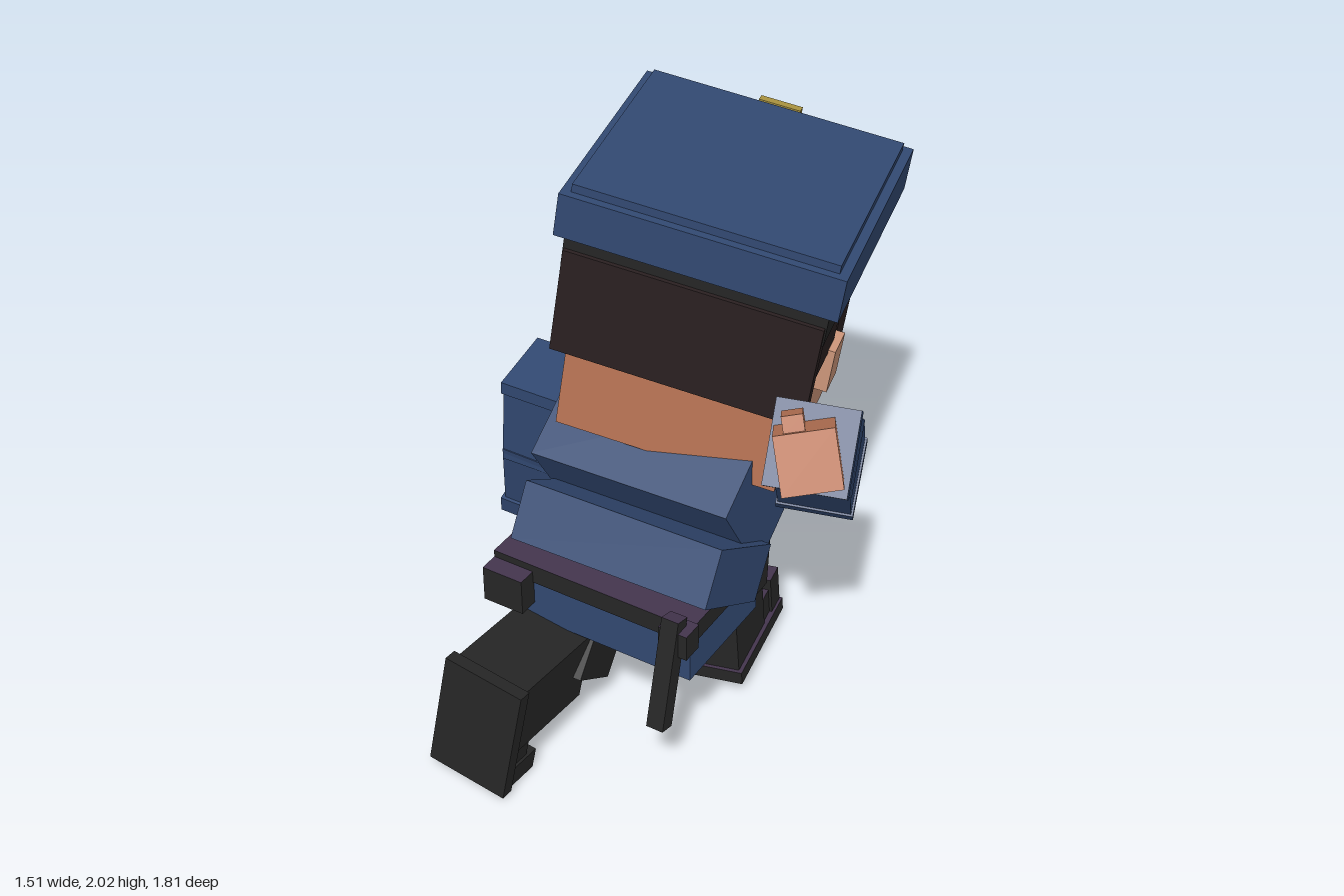
import * as THREE from 'three';

const V = (x, y, z) => new THREE.Vector3(x, y, z);
const D = THREE.MathUtils.degToRad;

function material(name, color) {
  const m = new THREE.MeshStandardMaterial({ color });
  m.name = name;
  return m;
}

export function createModel() {
  const blue = material('uniform blue', 0x324972);
  const black = material('black leather', 0x262626);
  const purple = material('purple black', 0x44354e);
  const skin = material('skin', 0xcd967a);
  const tan = material('tanned skin', 0xbd7757);
  const hair = material('dark hair', 0x2a2021);
  const gold = material('gold', 0xa8923f);
  // face order: +x -x +y -y +z -z
  const leather = [black, black, purple, black, black, black];
  const headSkin = [skin, skin, skin, tan, tan, skin];
  const handSkin = [tan, skin, skin, tan, skin, skin];

  const model = new THREE.Group();
  model.name = 'crouchingOfficer';

  function group(name, parent, pos, rot, order = 'YXZ') {
    const g = new THREE.Group();
    g.name = name;
    g.position.set(...pos);
    g.rotation.set(D(rot[0]), D(rot[1]), D(rot[2]), order);
    parent.add(g);
    return g;
  }
  function box(name, parent, mat, [w, h, d], [x, y, z], rot = [0, 0, 0]) {
    const m = new THREE.Mesh(new THREE.BoxGeometry(w, h, d), mat);
    m.name = name;
    m.position.set(x, y, z);
    m.rotation.set(D(rot[0]), D(rot[1]), D(rot[2]));
    parent.add(m);
    return m;
  }
  // Group whose local +y runs from b up to a, with its origin at b
  function limb(name, a, b, side = V(1, 0, 0)) {
    const g = new THREE.Group();
    g.name = name;
    const y = a.clone().sub(b).normalize();
    const z = side.clone().cross(y).normalize();
    const x = y.clone().cross(z);
    g.quaternion.setFromRotationMatrix(new THREE.Matrix4().makeBasis(x, y, z));
    g.position.copy(b);
    model.add(g);
    g.userData.length = a.distanceTo(b);
    return g;
  }
  // Shield badge facing -z
  function shield(name, parent, w, h, pos) {
    const s = new THREE.Shape([
      [-w / 2, h / 2], [w / 2, h / 2], [w / 2, -h / 4], [0, -h / 2], [-w / 2, -h / 4],
    ].map(([x, y]) => new THREE.Vector2(x, y)));
    const m = new THREE.Mesh(new THREE.ExtrudeGeometry(s, { depth: 0.03, bevelEnabled: false }), gold);
    m.name = name;
    m.position.set(...pos);
    parent.add(m);
  }

  // Head and cap, origin in the middle of the cap rim
  const head = group('head', model, [0.09, 1.83, -0.29], [0, 5.7, -8.5]);
  box('capRim', head, blue, [0.965, 0.16, 0.88], [0, 0, 0]);
  box('capTop', head, blue, [0.9, 0.03, 0.82], [0, 0.095, 0]);
  box('capBand', head, black, [0.9, 0.13, 0.785], [0, -0.135, 0.027]);
  box('capCord', head, gold, [0.8, 0.04, 0.03], [0, -0.1, -0.375]);
  box('capVisor', head, leather, [0.75, 0.045, 0.25], [0, -0.2, -0.455], [-38, 0, 0]);
  shield('capBadge', head, 0.15, 0.22, [0, -0.01, -0.465]);
  box('skull', head, headSkin, [0.79, 0.68, 0.715], [0, -0.505, 0.05]);
  box('backHair', head, hair, [0.89, 0.4, 0.05], [0, -0.33, 0.41]);
  for (const s of [-1, 1]) {
    box('sideHair', head, hair, [0.05, 0.24, 0.34], [s * 0.405, -0.31, 0.23]);
    box('sideburn', head, hair, [0.04, 0.34, 0.145], [s * 0.405, -0.355, -0.07]);
    box('ear', head, skin, [0.08, 0.17, 0.125], [s * 0.415, -0.5, 0.07]);
    box('eyebrow', head, hair, [0.27, 0.065, 0.05], [s * 0.2, -0.34, -0.325], [0, 0, s * 17]);
    box('moustacheTip', head, hair, [0.1, 0.1, 0.06], [s * 0.22, -0.725, -0.33], [0, 0, s * -25]);
    box('moustacheSide', head, hair, [0.2, 0.08, 0.07], [s * 0.12, -0.685, -0.335], [0, 0, s * -12]);
  }
  box('nose', head, skin, [0.1, 0.14, 0.07], [0, -0.56, -0.335]);

  // Torso: upright hips, leaning waist, strongly leaning chest
  const hips = group('hips', model, [-0.08, 0, 0.25], [0, -7.5, 0]);
  box('coatSkirt', hips, blue, [0.78, 0.16, 0.45], [0, 0.48, 0]);
  box('belt', hips, leather, [0.8, 0.075, 0.46], [0, 0.6, 0]);
  box('beltBuckle', hips, gold, [0.14, 0.08, 0.02], [0, 0.6, -0.235]);
  box('beltPouch', hips, leather, [0.16, 0.14, 0.08], [-0.32, 0.54, 0.26]);
  box('batonHolder', hips, leather, [0.11, 0.1, 0.08], [0.36, 0.6, 0.25]);
  box('baton', hips, leather, [0.065, 0.42, 0.06], [0.35, 0.485, 0.31], [-14, 0, 0]);

  const waist = group('waist', model, [-0.07, 0.69, 0.44], [-32, -6, 0]);
  box('waistBlock', waist, blue, [0.77, 0.21, 0.42], [0, 0.105, -0.21]);

  const chest = group('chest', model, [-0.05, 0.86, -0.07], [-58, -5, 0]);
  box('chestBlock', chest, blue, [0.76, 0.47, 0.46], [0, 0, 0]);
  for (const s of [-1, 1]) {
    box('pocket', chest, blue, [0.2, 0.16, 0.03], [s * 0.21, -0.02, -0.24]);
    box('pocketFlap', chest, blue, [0.22, 0.05, 0.04], [s * 0.21, 0.06, -0.245]);
    box('pocketButton', chest, gold, [0.04, 0.04, 0.02], [s * 0.21, 0.05, -0.265]);
    box('lapel', chest, blue, [0.18, 0.08, 0.05], [s * 0.1, 0.19, -0.24], [0, 0, s * 30]);
  }
  for (const y of [-0.17, -0.06, 0.05]) {
    box('coatButton', chest, gold, [0.045, 0.045, 0.025], [0, y, -0.235]);
  }
  shield('chestBadge', chest, 0.12, 0.14, [-0.21, -0.04, -0.28]);
  box('neck', chest, skin, [0.28, 0.16, 0.26], [0, 0.28, 0]);

  // One sleeve: shoulder, elbow, wrist
  function arm(name, shoulder, elbow, wrist, side) {
    const upper = limb(name + 'Upper', shoulder, elbow, side);
    const n = upper.userData.length;
    box('upperSleeve', upper, blue, [0.255, n + 0.03, 0.27], [0, n / 2, 0]);
    box('shoulderSeam', upper, blue, [0.27, 0.05, 0.285], [0, n - 0.01, 0]);
    const lower = limb(name + 'Lower', elbow, wrist, side);
    const k = lower.userData.length;
    box('lowerSleeve', lower, blue, [0.255, k + 0.05, 0.265], [0, k / 2 + 0.025, 0]);
    box('cuff', lower, blue, [0.28, 0.07, 0.29], [0, 0.035, 0]);
    return lower;
  }
  arm('leftArm', V(-0.55, 1.0, -0.15), V(-0.58, 0.67, -0.17), V(-0.615, 0.38, -0.235), V(0.99, -0.14, 0));
  const lowHand = group('leftHand', model, [-0.605, 0.405, -0.345], [7, -10, -8]);
  box('fist', lowHand, handSkin, [0.2, 0.21, 0.19], [0, 0, 0]);

  arm('rightArm', V(0.47, 0.86, -0.17), V(0.52, 1.08, 0.0), V(0.58, 1.285, 0.25), V(0.98, -0.05, -0.2));
  const highHand = limb('rightHand', V(0.56, 1.25, 0.22), V(0.625, 1.345, 0.4), V(0.93, 0.2, -0.35));
  box('fist', highHand, tan, [0.2, 0.24, 0.2], [0, 0.1, 0]);
  box('thumb', highHand, tan, [0.07, 0.12, 0.06], [-0.03, 0.06, 0.125]);

  // Boots with shin, toe towards -z, sole at y = 0
  function boot(name, pos, rot) {
    const g = group(name, model, pos, rot, 'ZYX');
    box('sole', g, leather, [0.31, 0.05, 0.455], [0, 0.025, -0.118]);
    box('shin', g, leather, [0.28, 0.41, 0.28], [0, 0.255, -0.045]);
    box('instep', g, leather, [0.27, 0.1, 0.2], [0, 0.1, -0.22]);
    box('toeCap', g, leather, [0.29, 0.15, 0.085], [0, 0.12, -0.298]);
    return g;
  }
  boot('rightBoot', [0.14, 0.03, 0], [0, 3, 4]);
  box('rightKnee', model, leather, [0.24, 0.09, 0.13], [0.14, 0.465, -0.11]);
  boot('leftBoot', [-0.345, 0.36, 0.875], [-95, -8, -8]);

  // Thighs
  const thighs = [
    ['rightThigh', V(0.12, 0.46, 0.22), V(0.14, 0.42, -0.14), 0.2],
    ['leftThigh', V(-0.25, 0.5, 0.17), V(-0.28, 0.2, 0.39), 0.27],
  ];
  for (const [name, a, b, depth] of thighs) {
    const g = limb(name, a, b);
    const n = g.userData.length;
    box('thighBlock', g, black, [0.29, n + 0.06, depth], [0, n / 2, 0]);
  }
  return model;
}
